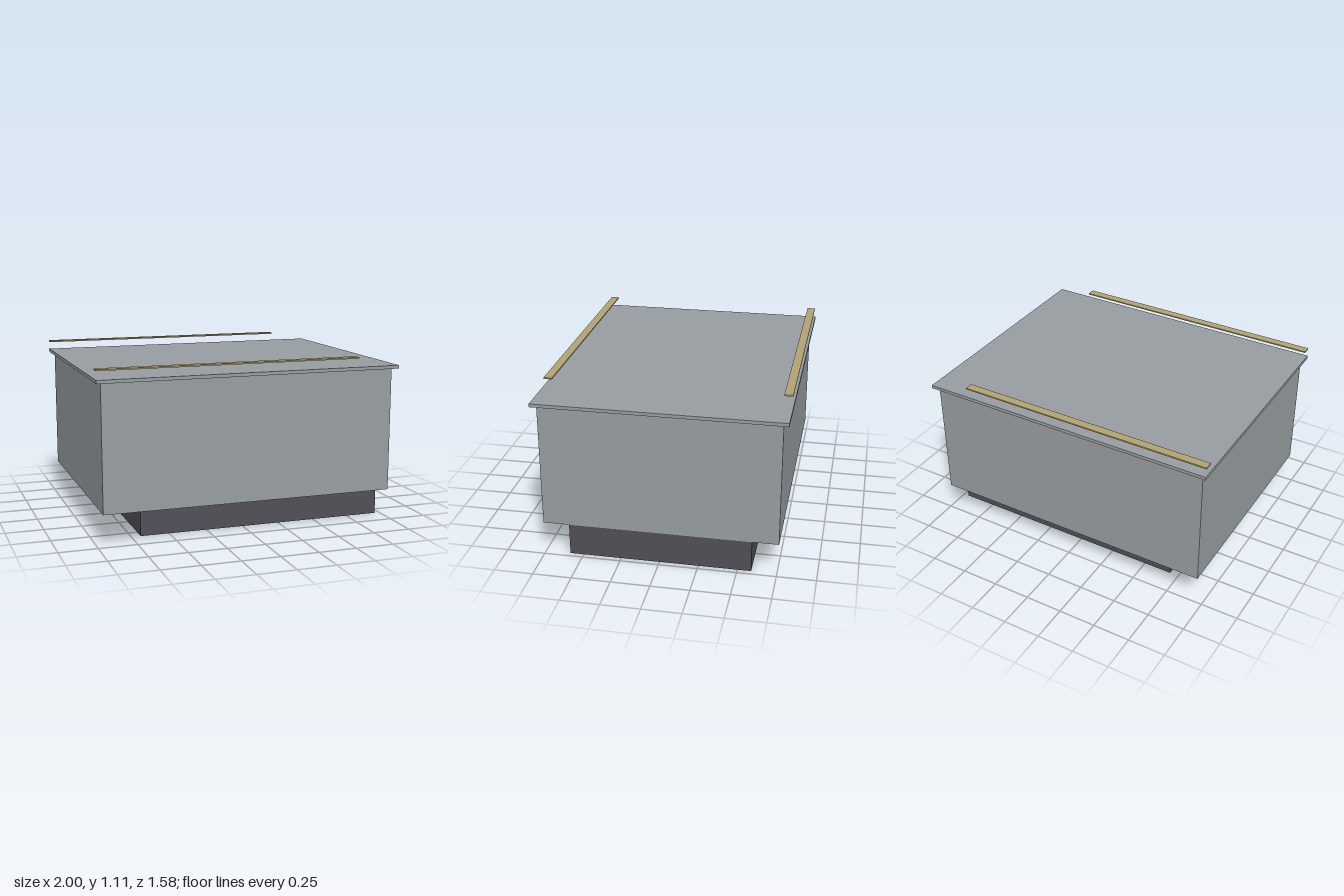
import * as THREE from 'three';

export function createModel() {
  const group = new THREE.Group();
  const grey = new THREE.MeshStandardMaterial({ color: 0x979da0 });
  grey.name = 'casing grey';
  const dark = new THREE.MeshStandardMaterial({ color: 0x504f58 });
  dark.name = 'base charcoal';
  const brass = new THREE.MeshStandardMaterial({ color: 0xb1a372 });
  brass.name = 'rail brass';

  // Box given by its lower and upper limits on each axis
  function addBox(name, material, [x0, x1], [y0, y1], [z0, z1]) {
    const mesh = new THREE.Mesh(new THREE.BoxGeometry(x1 - x0, y1 - y0, z1 - z0), material);
    mesh.position.set((x0 + x1) / 2, (y0 + y1) / 2, (z0 + z1) / 2);
    mesh.name = name;
    group.add(mesh);
  }

  // Recessed base, reaching up inside the casing
  addBox('base', dark, [-0.69, 0.965], [0, 0.41], [-0.588, 0.588]);

  // Main casing and its overhanging lid
  addBox('casing', grey, [-0.967, 0.967], [0.21, 1.025], [-0.757, 0.757]);
  addBox('lid', grey, [-1, 1], [1.025, 1.047], [-0.792, 0.792]);

  // Thin rails floating above the two long edges
  addBox('leftRail', brass, [-1, 0.72], [1.101, 1.11], [0.73, 0.785]);
  addBox('rightRail', brass, [-1, 0.72], [1.101, 1.11], [-0.785, -0.73]);

  return group;
}
